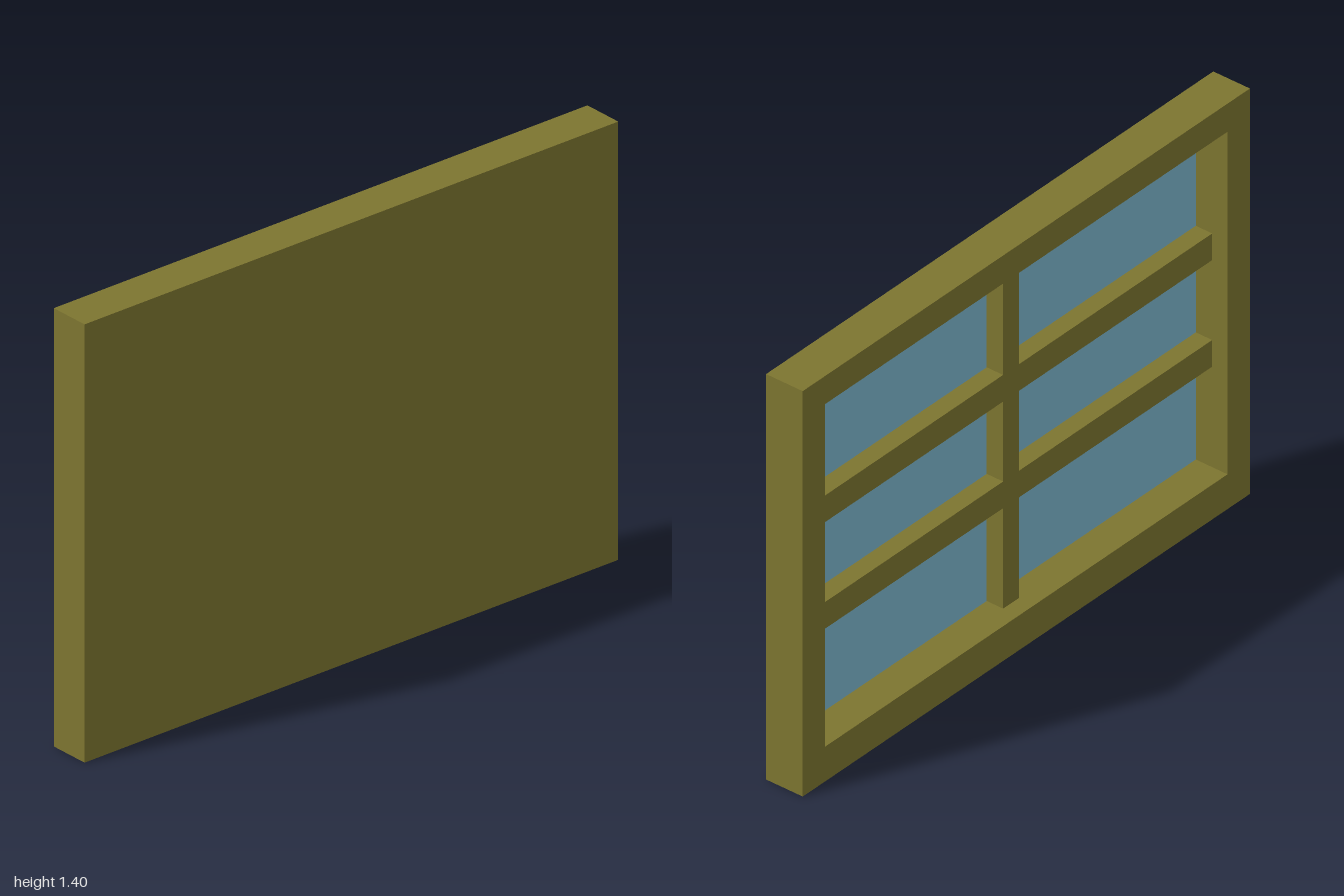
import * as THREE from 'three';

const W = 2, H = 1.4;                       // outer size
const BACK = -0.068, FRONT = 0.068;         // depth limits
const GLASS_Z = 0.05, BAR_Z = -0.011;       // pane surface and face of the bars
const L = -0.9, R = 0.9, B = 0.12, T = 1.303; // opening

export function createModel() {
  const group = new THREE.Group();
  const wood = new THREE.MeshStandardMaterial({ color: 0x7d7530 });
  const blue = new THREE.MeshStandardMaterial({ color: 0x7db7ce });

  const box = (name, mat, x0, x1, y0, y1, z0, z1) => {
    const mesh = new THREE.Mesh(new THREE.BoxGeometry(x1 - x0, y1 - y0, z1 - z0), mat);
    mesh.position.set((x0 + x1) / 2, (y0 + y1) / 2, (z0 + z1) / 2);
    mesh.name = name;
    group.add(mesh);
  };

  // Surrounding frame with a rectangular opening
  const outline = new THREE.Shape([[-1, 0], [1, 0], [1, H], [-1, H]].map(p => new THREE.Vector2(...p)));
  outline.holes.push(new THREE.Path([[L, B], [L, T], [R, T], [R, B]].map(p => new THREE.Vector2(...p))));
  const frame = new THREE.Mesh(
    new THREE.ExtrudeGeometry(outline, { depth: GLASS_Z + 0.002 - BACK, bevelEnabled: false }), wood);
  frame.position.z = BACK;
  frame.name = 'frame';
  group.add(frame);

  // Solid panel closing the front
  box('frontPanel', wood, -W / 2, W / 2, 0, H, GLASS_Z + 0.002, FRONT);

  // Glass lying against the panel, seen from the back
  box('glass', blue, L, R, B, T, GLASS_Z, GLASS_Z + 0.002);

  // Glazing bars: one upright, and crossbars split around it
  box('uprightBar', wood, -0.035, 0.035, B, T, BAR_Z, GLASS_Z);
  for (const y of [0.513, 0.881]) {
    box('crossbarRight', wood, L, -0.035, y - 0.046, y + 0.046, BAR_Z, GLASS_Z);
    box('crossbarLeft', wood, 0.035, R, y - 0.046, y + 0.046, BAR_Z, GLASS_Z);
  }
  return group;
}
